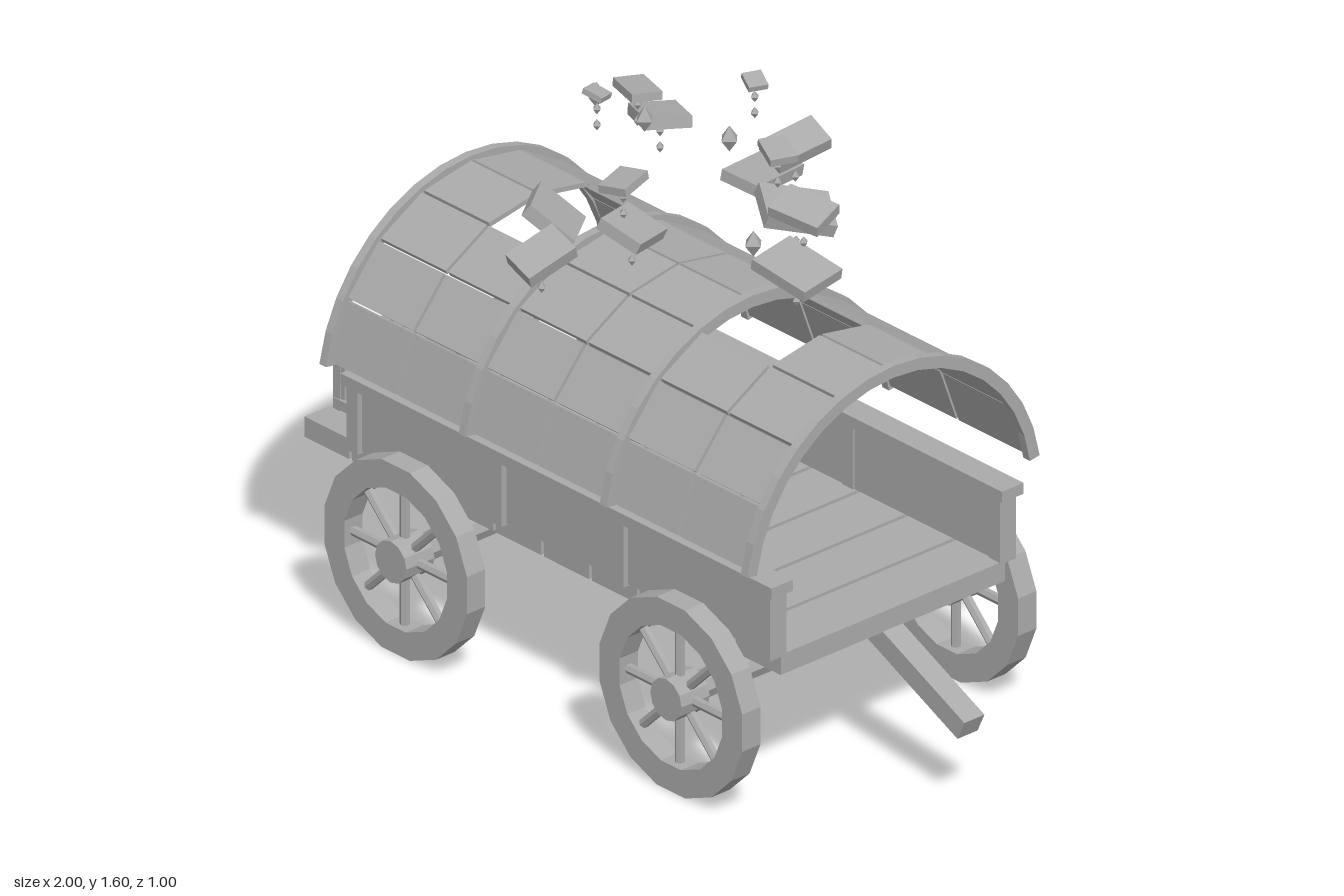
import * as THREE from 'three';

export function createModel() {
  const root = new THREE.Group();
  root.name = 'coveredWagon';
  const grey = new THREE.MeshStandardMaterial({ color: 0xaaaaaa, flatShading: true });
  grey.name = 'plain grey';

  const add = (parent, name, geo, x = 0, y = 0, z = 0) => {
    const m = new THREE.Mesh(geo, grey);
    m.name = name;
    m.position.set(x, y, z);
    parent.add(m);
    return m;
  };
  const group = (name, parent = root) => {
    const g = new THREE.Group();
    g.name = name;
    parent.add(g);
    return g;
  };
  // box given by its extents
  const slab = (parent, name, x0, x1, y0, y1, z0, z1) =>
    add(parent, name, new THREE.BoxGeometry(x1 - x0, y1 - y0, z1 - z0),
      (x0 + x1) / 2, (y0 + y1) / 2, (z0 + z1) / 2);
  const arcPoints = (r, a0, a1, n) => Array.from({ length: n + 1 }, (_, i) => {
    const a = a0 + (a1 - a0) * i / n;
    return new THREE.Vector2(r * Math.cos(a), r * Math.sin(a));
  });
  const extrude = (shape, depth) => {
    const g = new THREE.ExtrudeGeometry(shape, { depth, bevelEnabled: false });
    return g.translate(0, 0, -depth / 2);
  };

  // floor planks, the rear one sticking out as a tail shelf
  const bed = group('bed');
  for (let i = 0; i < 10; i++) {
    const x = -1 + i * 0.1715;
    slab(bed, 'floorPlank', x, x + 0.16, 0.38, 0.435, -0.367, 0.367);
  }

  // side walls with cap rails and posts
  for (const s of [-1, 1]) {
    const wall = group('sideWall');
    const side = (name, x0, x1, y0, y1, a, b) =>
      slab(wall, name, x0, x1, y0, y1, Math.min(s * a, s * b), Math.max(s * a, s * b));
    side('sideBoard', -0.81, 0.705, 0.435, 0.61, 0.355, 0.388);
    side('capRail', -0.82, 0.72, 0.607, 0.637, 0.342, 0.413);
    for (const x of [-0.79, -0.275, 0.16, 0.685]) side('post', x - 0.02, x + 0.02, 0.43, 0.607, 0.35, 0.403);
  }

  // wheels and axles
  const R = 0.26, step = Math.PI / 8;
  const rimShape = new THREE.Shape(arcPoints(R, step / 2, step / 2 + Math.PI * 2 - step, 15));
  rimShape.holes.push(new THREE.Path(arcPoints(0.187, step / 2, step / 2 + Math.PI * 2 - step, 15)));
  const rimGeo = extrude(rimShape, 0.06);
  const hubGeo = new THREE.CylinderGeometry(0.056, 0.056, 0.092, 12).rotateX(Math.PI / 2);
  const spokeGeo = new THREE.CylinderGeometry(0.013, 0.013, 0.16, 6).translate(0, 0.12, 0);
  for (const x of [-0.548, 0.436]) {
    add(root, 'axle', new THREE.CylinderGeometry(0.036, 0.036, 0.84, 8).rotateX(Math.PI / 2), x, 0.258, 0);
    for (const z of [-0.452, 0.452]) {
      const wheel = group('wheel');
      wheel.position.set(x, 0.257, z);
      add(wheel, 'rim', rimGeo);
      add(wheel, 'hub', hubGeo);
      for (let i = 0; i < 8; i++) add(wheel, 'spoke', spokeGeo).rotation.z = i * Math.PI / 4;
    }
  }

  // sloping tongue
  const tongue = add(root, 'tongue', new THREE.BoxGeometry(0.40, 0.058, 0.066), 0.802, 0.303, 0);
  tongue.rotation.z = -0.44;

  // hoops of the cover
  const cover = group('cover');
  const cy = 0.608, deg = Math.PI / 180;
  const hoopShape = new THREE.Shape([
    ...arcPoints(0.485, 9 * deg, 171 * deg, 16),
    ...arcPoints(0.453, 171 * deg, 9 * deg, 16)]);
  const hoopGeo = extrude(hoopShape, 0.024).rotateY(Math.PI / 2);
  const hoops = [-0.812, -0.314, 0.19, 0.694];
  for (const x of hoops) add(cover, 'hoop', hoopGeo, x, cy, 0);

  // flat cover panels, two columns per bay; the crown is broken open in two columns
  const pr = 0.462;
  for (let c = 0; c < 6; c++) {
    const x0 = hoops[c >> 1], w = (hoops[(c >> 1) + 1] - x0) / 2;
    for (let i = 0; i < 8; i++) {
      if ((c === 1 || c === 4) && (i === 3 || i === 4)) continue;
      const a = (20 + i * 20) * deg, r = pr * Math.cos(10 * deg) + 0.004;
      const p = add(cover, 'coverPanel', new THREE.BoxGeometry(w - 0.009, 0.013, 2 * pr * Math.sin(10 * deg) - 0.004),
        x0 + w * ((c & 1) + 0.5), cy + r * Math.sin(a), r * Math.cos(a));
      p.rotation.x = Math.PI / 2 - a;
    }
  }

  // slatted crate on the tail
  const crate = group('crate');
  slab(crate, 'crateBody', -0.97, -0.83, 0.437, 0.615, 0.015, 0.275);
  for (const x of [-0.972, -0.826])
    for (const z of [0.015, 0.275]) slab(crate, 'cratePost', x - 0.012, x + 0.012, 0.437, 0.635, z - 0.012, z + 0.012);
  for (let i = 0; i < 4; i++) {
    const x = -0.964 + i * 0.043;
    slab(crate, 'topSlat', x - 0.016, x + 0.016, 0.615, 0.635, 0.005, 0.286);
    slab(crate, 'sideSlat', x - 0.016, x + 0.016, 0.46, 0.615, 0.272, 0.283);
  }
  for (const y of [0.455, 0.6])
    for (const z of [0.01, 0.28]) slab(crate, 'crateRail', -0.98, -0.82, y - 0.013, y + 0.013, z - 0.01, z + 0.01);
  for (const s of [-1, 1])
    add(crate, 'crossBrace', new THREE.BoxGeometry(0.15, 0.022, 0.018), -0.9, 0.53, -0.002).rotation.z = s * 0.75;

  // lantern beside the crate
  const lantern = group('lantern');
  lantern.position.set(-0.9, 0.435, -0.23);
  const drum = (name, top, bottom, y0, y1, n = 8) =>
    add(lantern, name, new THREE.CylinderGeometry(top, bottom, y1 - y0, n), 0, (y0 + y1) / 2, 0);
  drum('lanternBase', 0.055, 0.062, 0, 0.035);
  drum('lanternGlass', 0.043, 0.043, 0.035, 0.128);
  drum('lanternRoof', 0.03, 0.07, 0.128, 0.158);
  drum('lanternChimney', 0.032, 0.032, 0.158, 0.178);
  drum('lanternTop', 0.018, 0.024, 0.178, 0.195);
  for (let i = 0; i < 4; i++) {
    const a = Math.PI / 4 + i * Math.PI / 2;
    add(lantern, 'lanternBar', new THREE.BoxGeometry(0.01, 0.1, 0.01), 0.052 * Math.cos(a), 0.08, 0.052 * Math.sin(a));
  }
  add(lantern, 'lanternKnob', new THREE.BoxGeometry(0.012, 0.03, 0.012), 0, 0.05, -0.062);

  // floating fragments: x, y, z, width, depth, thickness, tilt x, yaw, tilt z
  const debris = group('debris');
  const pieces = [
    [-0.285, 1.195, 0.205, 0.14, 0.16, 0.036, -0.5, 0.75, -0.45],
    [-0.17, 1.182, 0.35, 0.10, 0.14, 0.036, 0.42, -0.2, -0.2],
    [-0.14, 1.178, -0.345, 0.11, 0.19, 0.03, -0.12, 0.2, -0.1],
    [0.085, 1.195, -0.25, 0.13, 0.18, 0.036, -0.12, -0.5, -0.35],
    [0.305, 1.187, -0.05, 0.17, 0.14, 0.03, 0.05, 0.12, -0.22],
    [-0.325, 1.32, -0.18, 0.14, 0.12, 0.03, -0.15, -0.45, 0.12],
    [-0.005, 1.31, -0.33, 0.09, 0.15, 0.035, 0.27, -0.2, -0.3],
    [0.055, 1.31, 0.26, 0.12, 0.14, 0.032, -0.25, 0.35, -0.3],
    [0.265, 1.31, -0.11, 0.14, 0.10, 0.03, 0.18, 0.25, -0.2],
    [-0.305, 1.432, -0.088, 0.12, 0.08, 0.022, -0.1, -0.35, 0.05],
    [0.15, 1.422, -0.13, 0.09, 0.07, 0.02, 0.1, -0.4, -0.15],
    [0.035, 1.433, 0.27, 0.08, 0.10, 0.022, 0.12, 0.25, 0.1],
    [-0.185, 1.55, 0.155, 0.055, 0.05, 0.015, -0.2, 0.3, -0.2],
    [0.03, 1.553, -0.165, 0.055, 0.05, 0.015, 0.12, -0.4, -0.25]];
  const chipGeo = new THREE.OctahedronGeometry(0.012).scale(1, 1.3, 1);
  for (const [x, y, z, w, d, t, rx, ry, rz] of pieces) {
    add(debris, 'fragment', new THREE.BoxGeometry(w, t, d), x, y, z).rotation.set(rx, ry, rz, 'XZY');
    for (const dy of [0.042, 0.086]) add(debris, 'chip', chipGeo, x, y - dy, z);
  }
  const shardGeo = new THREE.OctahedronGeometry(0.026).scale(1, 1.35, 1);
  for (const [x, y, z] of [[0.015, 1.565, 0.182], [-0.318, 1.453, 0.035], [-0.088, 1.343, -0.19], [0.205, 1.235, 0]])
    add(debris, 'shard', shardGeo, x, y, z);

  return root;
}
